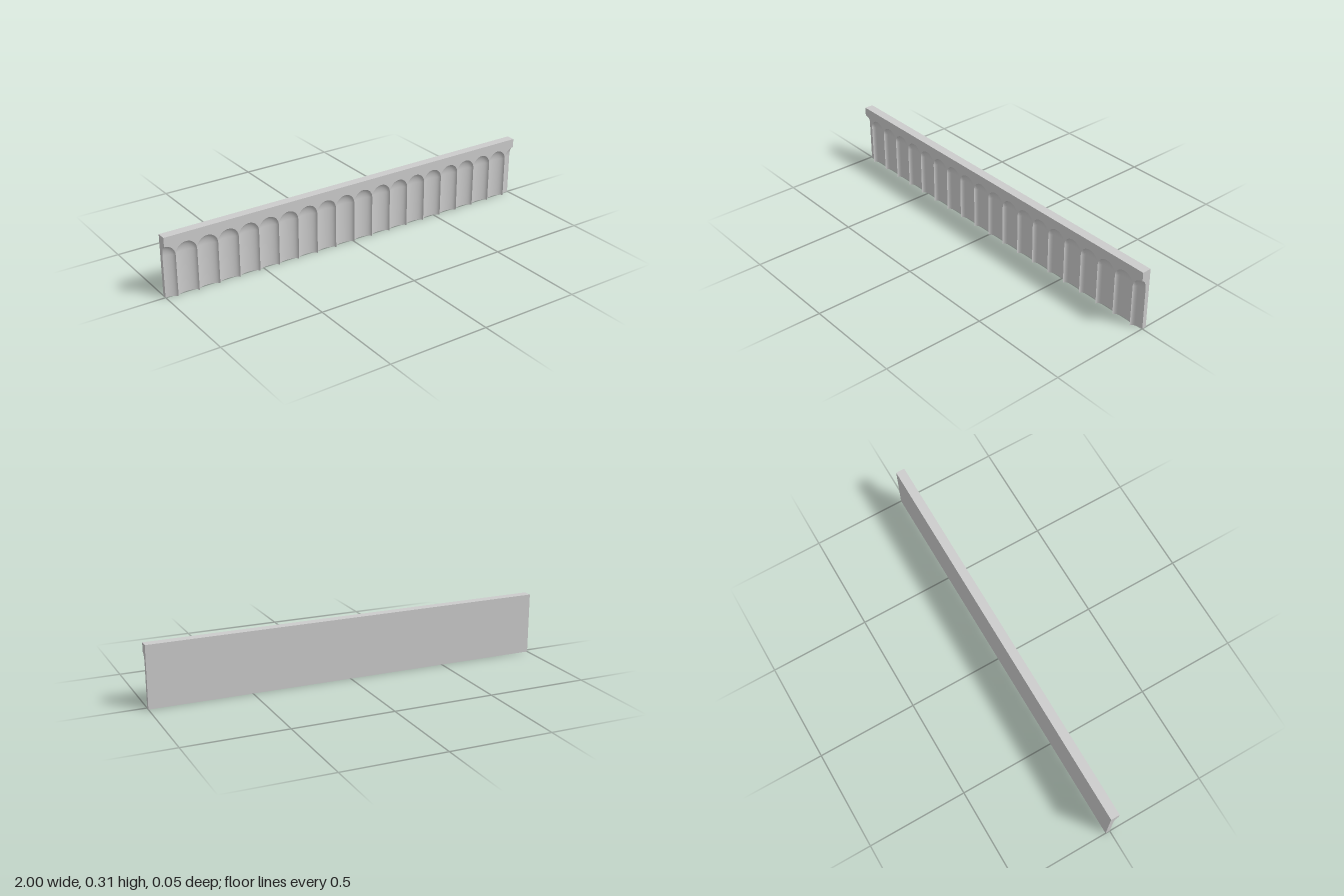
import * as THREE from 'three';

const PITCHES = 19;               // 18 full flutes plus a half flute at each end
const R = 1 / PITCHES;            // half width of a flute
const H = 0.305;                  // panel height
const F = 0.0225;                 // half thickness
const D = 0.0235;                 // flute depth
const SPRING = 0.26 - R;          // where the rounded heads begin
const SEG = 16;

export function createModel() {
  const group = new THREE.Group();
  const material = new THREE.MeshStandardMaterial({ color: 0xcccccc });
  const fluteMaterial = new THREE.MeshStandardMaterial({ color: 0xcccccc, side: THREE.DoubleSide });

  const add = (name, geometry, x = 0, y = 0, z = 0, mat = material) => {
    const mesh = new THREE.Mesh(geometry, mat);
    mesh.name = name;
    mesh.position.set(x, y, z);
    group.add(mesh);
  };
  const face = (points) => new THREE.ShapeGeometry(new THREE.Shape(points));

  // Row of half-round scallops from x = -1 to 1, mapped by rise (0..1) to a second coordinate
  const scallops = (map) => {
    const points = [];
    for (let i = 0; i <= PITCHES; i++) {
      const from = i === 0 ? SEG / 2 : 0;
      const to = i === PITCHES ? SEG / 2 : SEG;
      for (let k = from; k <= to; k++) {
        if (i > 0 && k === 0) continue; // ridge point shared with the previous flute
        const a = (k / SEG) * Math.PI;
        points.push(new THREE.Vector2(-1 + 2 * R * i - R * Math.cos(a), map(Math.sin(a))));
      }
    }
    return points;
  };

  // Flat front band with arched lower edge
  add('frontBand', face([
    ...scallops((s) => SPRING + R * s),
    new THREE.Vector2(1, H), new THREE.Vector2(-1, H),
  ]), 0, 0, F);

  // Scalloped underside
  add('underside', face([
    ...scallops((s) => F - D * s),
    new THREE.Vector2(1, -F), new THREE.Vector2(-1, -F),
  ]).rotateX(Math.PI / 2));

  // Back and top
  add('back', new THREE.PlaneGeometry(2, H).rotateY(Math.PI), 0, H / 2, -F);
  add('top', new THREE.PlaneGeometry(2, 2 * F).rotateX(-Math.PI / 2), 0, H, 0);

  // End faces, cut by the middle of the end flutes
  for (const side of [1, -1]) {
    const p = (z, y) => new THREE.Vector2(-side * z, y);
    const outline = [p(-F, 0), p(F - D, 0)];
    for (let k = SEG / 2; k >= 0; k--) {
      const a = (k / SEG) * Math.PI;
      outline.push(p(F - D * Math.sin(a), SPRING + R * Math.cos(a)));
    }
    outline.push(p(F, H), p(-F, H));
    add(side > 0 ? 'leftEnd' : 'rightEnd', face(outline).rotateY((side * Math.PI) / 2), side);
  }

  // Hollow flutes: straight elliptical trough with a rounded head
  const flute = (troughStart, headStart, length, segments) => [
    new THREE.CylinderGeometry(1, 1, SPRING, segments, 1, true, troughStart, length)
      .translate(0, SPRING / 2, 0).scale(R, 1, D),
    new THREE.SphereGeometry(1, segments, SEG / 2, headStart, length, 0, Math.PI / 2)
      .scale(R, R, D),
  ];
  const q = Math.PI / 2;
  const full = flute(q, 2 * q, 2 * q, SEG);
  const rightHalf = flute(q, 2 * q, q, SEG / 2);
  const leftHalf = flute(2 * q, 3 * q, q, SEG / 2);
  for (let i = 0; i <= PITCHES; i++) {
    const [trough, head] = i === 0 ? rightHalf : i === PITCHES ? leftHalf : full;
    const x = -1 + 2 * R * i;
    add('fluteTrough', trough, x, 0, F, fluteMaterial);
    add('fluteHead', head, x, SPRING, F, fluteMaterial);
  }
  return group;
}
